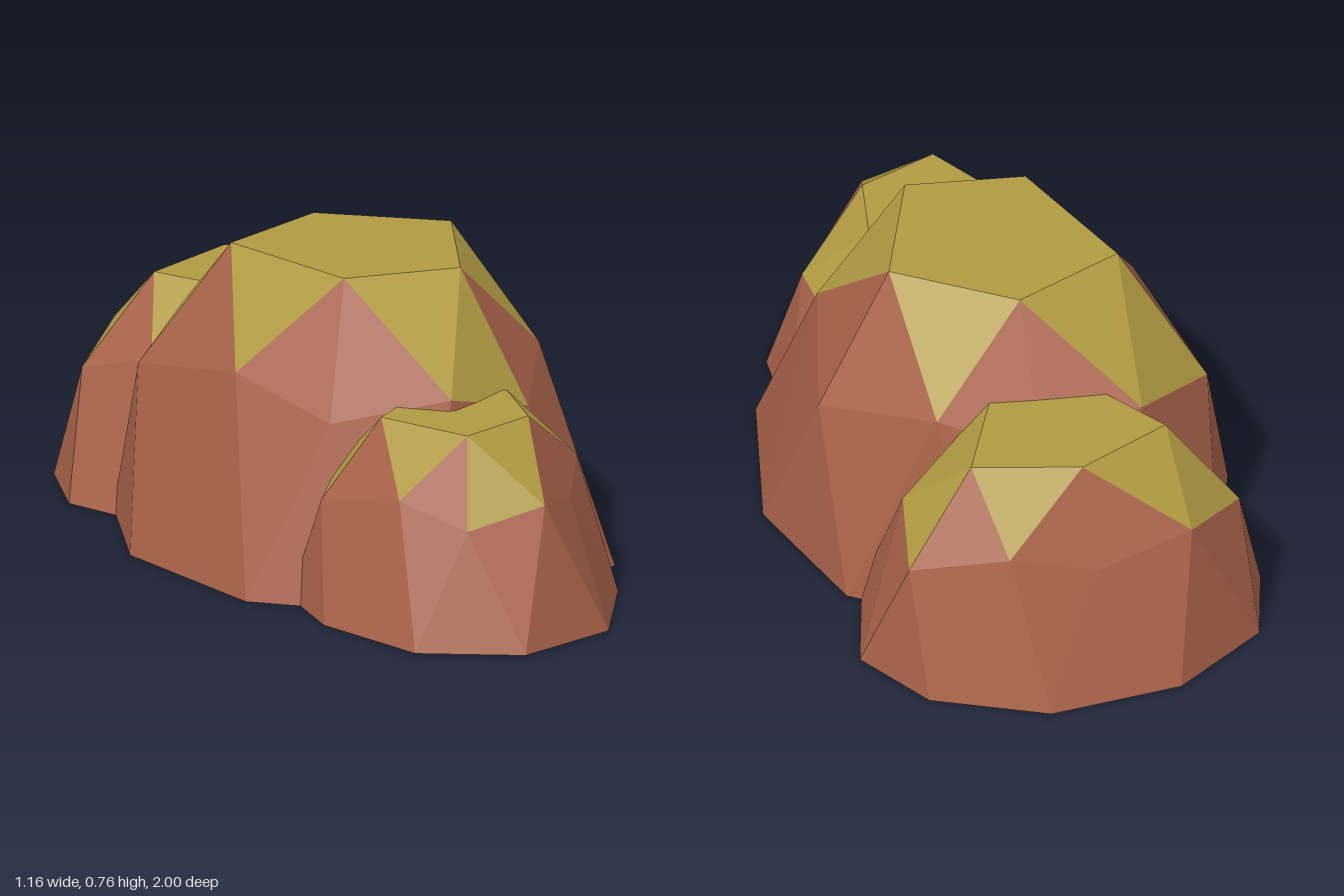
import * as THREE from 'three';

const stone = new THREE.MeshStandardMaterial({ color: 0xa86249 });
stone.name = 'red stone';
const moss = new THREE.MeshStandardMaterial({ color: 0xb09a42 });
moss.name = 'olive moss';

function facetMesh(name, triangles, material) {
  const geometry = new THREE.BufferGeometry().setFromPoints(triangles.flat());
  geometry.computeVertexNormals(); // unshared corners give flat facets
  const mesh = new THREE.Mesh(geometry, material);
  mesh.name = name;
  return mesh;
}

// A boulder is the upper half of a once-divided icosahedron with its tip cut flat.
// Rings run from the front (+z) towards +x. size is the full dome height, center is [x, z].
// top: the five corners of the flat top; mids: the shoulder corners between them.
// flare: reach of the ten ground corners. mossLeft, mossRight: ribs with an extra mossy facet.
function createBoulder(name, { center, size, top, mids, flare, mossLeft, mossRight = [] }) {
  const origin = new THREE.Vector3(center[0], 0, center[1]);
  const ring = (points, y) => points.map(([x, z]) => new THREE.Vector3(x, y, z));
  const T = ring(top, 0.774 * size);
  const M = ring(mids, 0.526 * size);

  // ribs continue each top corner outwards and down
  const V = T.map((t) => t.clone().sub(origin).multiplyScalar(1.7).add(origin).setY(0.447 * size));

  // each ground corner lies between a rib and the shoulder corner beside it
  const ground = flare.map((reach, k) => {
    const i = Math.floor(k / 2);
    const shoulder = M[k % 2 ? i : (i + 4) % 5];
    return V[i].clone().add(shoulder).addScaledVector(origin, -2)
      .multiplyScalar(reach).add(origin).setY(0);
  });

  const rockFaces = [];
  const mossFaces = [];
  for (let i = 0; i < 5; i++) {
    const next = (i + 1) % 5;
    const left = ground[2 * i], right = ground[2 * i + 1], nextLeft = ground[2 * next];
    // mossy tongues hanging from the flat top
    mossFaces.push([T[i], M[i], T[next]]);
    // shoulder facets on both sides of each rib
    (mossLeft.includes(i) ? mossFaces : rockFaces).push([T[i], M[(i + 4) % 5], V[i]]);
    (mossRight.includes(i) ? mossFaces : rockFaces).push([T[i], V[i], M[i]]);
    // steep lower wall
    rockFaces.push([V[i], left, right], [V[i], right, M[i]],
      [M[i], right, nextLeft], [M[i], nextLeft, V[next]]);
  }
  // flat top and underside
  for (let i = 1; i < 4; i++) mossFaces.push([T[0], T[i], T[i + 1]]);
  for (let i = 1; i < 9; i++) rockFaces.push([ground[0], ground[i + 1], ground[i]]);

  const boulder = new THREE.Group();
  boulder.name = name;
  boulder.add(facetMesh('stoneBody', rockFaces, stone), facetMesh('mossCap', mossFaces, moss));
  return boulder;
}

export function createModel() {
  const model = new THREE.Group();
  model.name = 'mossyBoulders';

  model.add(createBoulder('middleBoulder', {
    center: [0, 0], size: 0.987,
    top: [[0.16, 0.24], [0.28, -0.11], [-0.01, -0.3], [-0.29, -0.16], [-0.14, 0.21]],
    mids: [[0.4, 0.17], [0.23, -0.43], [-0.28, -0.48], [-0.39, 0.11], [0.02, 0.52]],
    flare: [0.65, 0.74, 0.66, 0.64, 0.65, 0.62, 0.62, 0.66, 0.73, 0.66],
    mossLeft: [0, 3],
  }));

  model.add(createBoulder('frontBoulder', {
    center: [0.05, 0.55], size: 0.637,
    top: [[0.18, 0.63], [0.21, 0.42], [0.03, 0.33], [-0.16, 0.5], [-0.02, 0.72]],
    mids: [[0.36, 0.51], [0.15, 0.22], [-0.2, 0.33], [-0.19, 0.69], [0.13, 0.86]],
    flare: [0.78, 0.71, 0.65, 0.6, 0.58, 0.6, 0.65, 0.67, 0.77, 0.75],
    mossLeft: [1, 3], mossRight: [4],
  }));

  model.add(createBoulder('backBoulder', {
    center: [-0.05, -0.57], size: 0.714,
    top: [[0.2, -0.68], [-0.07, -0.74], [-0.31, -0.61], [-0.16, -0.4], [0.09, -0.41]],
    mids: [[0.14, -0.85], [-0.33, -0.82], [-0.38, -0.46], [-0.07, -0.25], [0.34, -0.53]],
    flare: [0.65, 0.65, 0.75, 0.71, 0.64, 0.67, 0.72, 0.7, 0.7, 0.72],
    mossLeft: [0, 2],
  }));

  return model;
}
